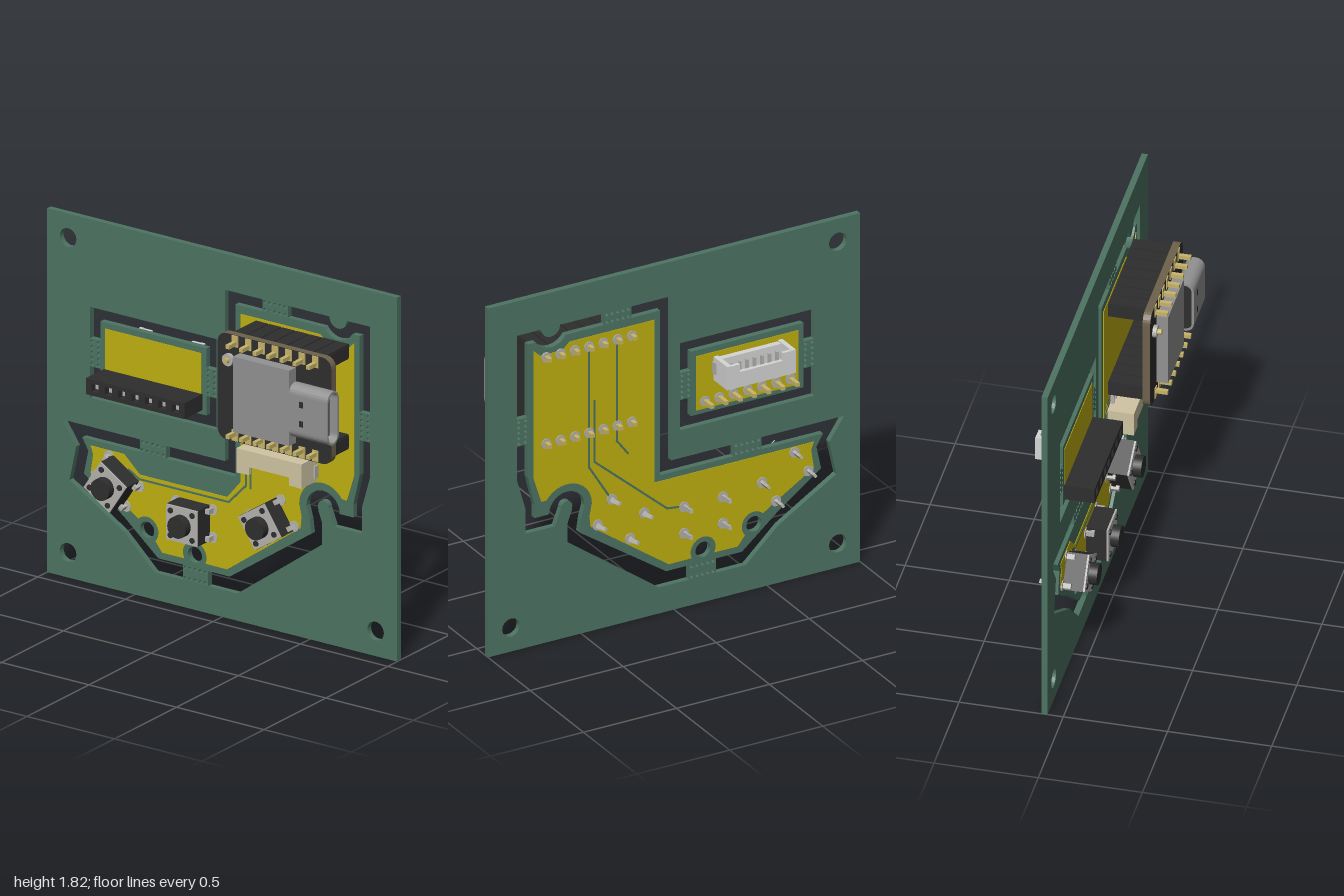
import * as THREE from 'three';

const mat = (name, color) => {
  const m = new THREE.MeshStandardMaterial({ color });
  m.name = name;
  return m;
};
const green = mat('board green', 0x4d7362);
const yellow = mat('copper yellow', 0xbfb010);
const black = mat('black plastic', 0x2e2e2e);
const silver = mat('silver metal', 0xb4b2ae);
const grey = mat('shield grey', 0x929292);
const cream = mat('cream plastic', 0xd0c6a4);
const gold = mat('gold', 0xc8b56a);
const white = mat('white plastic', 0xd6d6d6);
const brown = mat('module edge brown', 0x6e624c);

const BACK = -0.105, FRONT = -0.075; // faces of the board
const PITCH = 0.0766;

const add = (parent, name, geo, material) => {
  const m = new THREE.Mesh(geo, material);
  m.name = name;
  parent.add(m);
  return m;
};
// box from its limits
const box = (parent, name, material, x0, x1, y0, y1, z0, z1) => add(parent, name,
  new THREE.BoxGeometry(x1 - x0, y1 - y0, z1 - z0).translate((x0 + x1) / 2, (y0 + y1) / 2, (z0 + z1) / 2), material);
// cylinder along z
const disc = (parent, name, material, x, y, r, z0, z1, n = 20) => add(parent, name,
  new THREE.CylinderGeometry(r, r, z1 - z0, n).rotateX(Math.PI / 2).translate(x, y, (z0 + z1) / 2), material);
const arc = (cx, cy, r, a0, a1, n = 14) => Array.from({ length: n + 1 }, (_, i) => {
  const a = THREE.MathUtils.degToRad(a0 + (a1 - a0) * i / n);
  return [cx + r * Math.cos(a), cy + r * Math.sin(a)];
});
const circle = (x, y, r, n = 24) => arc(x, y, r, 0, 360 * (n - 1) / n, n - 1);
const rect = (x0, y0, x1, y1) => [[x0, y0], [x1, y0], [x1, y1], [x0, y1]];
const roundRect = (x0, y0, x1, y1, r) => [
  ...arc(x1 - r, y1 - r, r, 0, 90, 6), ...arc(x0 + r, y1 - r, r, 90, 180, 6),
  ...arc(x0 + r, y0 + r, r, 180, 270, 6), ...arc(x1 - r, y0 + r, r, 270, 360, 6)];
const vec = pts => pts.map(p => new THREE.Vector2(...p));
const slab = (pts, holes, z0, z1) => {
  const s = new THREE.Shape(vec(pts));
  s.holes = holes.map(h => new THREE.Path(vec(h)));
  return new THREE.ExtrudeGeometry(s, { depth: z1 - z0, bevelEnabled: false }).translate(0, 0, z0);
};

// outlines
const slotOutline = [[0.016, 1.64], ...arc(0.663, 1.64, 0.05, 180, 360), [0.845, 1.64], [0.845, 0.885],
  [0.80, 0.73], [0.80, 0.595], [0.64, 0.595], ...arc(0.577, 0.68, 0.03, 0, 180), [0.55, 0.655], [0.572, 0.595],
  [0.572, 0.49], [0.086, 0.136], [-0.385, 0.136], [-0.56, 0.30], [-0.872, 0.49], [-0.834, 0.666],
  [-0.914, 0.783], [0.016, 0.783]];
const mainOutline = [[0.075, 1.58], ...arc(0.663, 1.63, 0.095, 212, 328), [0.786, 1.58], [0.786, 0.885],
  [0.75, 0.73], [0.75, 0.665], ...arc(0.577, 0.665, 0.095, 0, 180), [0.5, 0.6], [0.51, 0.53], [0.043, 0.211],
  [-0.365, 0.211], [-0.56, 0.375], [-0.79, 0.54], [-0.765, 0.66], [-0.80, 0.72], [0.075, 0.72]];
const copperStart = [[0.107, 1.54], [0.56, 1.54], [0.60, 1.505], [0.72, 1.505], [0.757, 1.54], [0.757, 0.875],
  [0.715, 0.742], ...arc(0.577, 0.665, 0.135, 35, 180), [0.455, 0.6], [0.45, 0.545], [0.03, 0.245],
  ...arc(-0.155, 0.275, 0.068, -25, 205), [-0.34, 0.245], ...arc(-0.428, 0.34, 0.066, -43, 137),
  [-0.53, 0.42], [-0.75, 0.555], [-0.735, 0.65], [-0.75, 0.69]];
const copperFront = [...copperStart, [-0.56, 0.69], [-0.47, 0.607], [0.03, 0.607], [0.107, 0.70]];
const copperBack = [...copperStart, [0.107, 0.69]];

// thin mask lines drawn on one face of the board
function trace(parent, pts, z) {
  for (let i = 1; i < pts.length; i++) {
    const [x0, y0] = pts[i - 1], [x1, y1] = pts[i];
    const m = add(parent, 'trace', new THREE.BoxGeometry(Math.hypot(x1 - x0, y1 - y0) + 0.006, 0.01, 0.004), green);
    m.position.set((x0 + x1) / 2, (y0 + y1) / 2, z);
    m.rotation.z = Math.atan2(y1 - y0, x1 - x0);
  }
}

function buildBoard(g) {
  const corners = [[-0.88, 1.70], [-0.88, 0.125], [0.877, 0.125]].map(p => circle(...p, 0.047));
  add(g, 'panelFrame', slab(rect(-1, 0, 1, 1.82),
    [...corners, slotOutline, rect(-0.754, 0.928, -0.032, 1.382)], BACK, FRONT), green);
  add(g, 'mainBoard', slab(mainOutline,
    [circle(-0.428, 0.34, 0.04), circle(-0.155, 0.275, 0.04)], BACK, FRONT), green);
  add(g, 'smallBoard', slab(rect(-0.695, 0.987, -0.09, 1.323), [], BACK, FRONT), green);

  // perforated break-off tabs
  for (const [x0, y0, x1, y1] of [[-0.754, 1.085, -0.695, 1.225], [-0.09, 1.085, -0.032, 1.225],
    [0.23, 1.58, 0.375, 1.64], [0.786, 1.06, 0.845, 1.2], [-0.47, 0.72, -0.32, 0.783], [-0.225, 0.136, -0.08, 0.211]]) {
    const holes = [], e = 0.011;
    for (let i = 0; i < 5; i++) {
      const t = (i + 0.5) / 5;
      if (x1 - x0 > y1 - y0) for (const y of [y0 + e, y1 - e]) holes.push(circle(x0 + t * (x1 - x0), y, 0.009, 8));
      else for (const x of [x0 + e, x1 - e]) holes.push(circle(x, y0 + t * (y1 - y0), 0.009, 8));
    }
    add(g, 'breakTab', slab(rect(x0, y0, x1, y1), holes, BACK, FRONT), green);
  }

  // copper areas and traces
  add(g, 'copperFront', slab(copperFront, [], FRONT, FRONT + 0.003), yellow);
  add(g, 'copperBack', slab(copperBack, [], BACK - 0.003, BACK), yellow);
  box(g, 'smallCopperFront', yellow, -0.668, -0.118, 1.01, 1.293, FRONT, FRONT + 0.003);
  box(g, 'smallCopperBack', yellow, -0.668, -0.118, 1.01, 1.293, BACK - 0.003, BACK);
  const zf = FRONT + 0.003, zb = BACK - 0.003;
  trace(g, [[0.25, 0.97], [0.17, 0.97], [0.14, 0.93], [0.14, 0.69], [0.04, 0.585], [-0.47, 0.585], [-0.53, 0.62]], zf);
  trace(g, [[0.27, 0.95], [0.19, 0.945], [0.165, 0.91], [0.165, 0.68]], zf);
  trace(g, [[0.46, 1.48], [0.46, 0.86], [0.35, 0.68]], zb);
  trace(g, [[0.43, 1.2], [0.43, 0.88], [0.04, 0.54], [-0.04, 0.53]], zb);
  trace(g, [[0.31, 1.48], [0.31, 0.96], [0.25, 0.88]], zb);
}

// push button with four legs
function button(parent, x, y, turn) {
  const g = new THREE.Group();
  g.name = 'pushButton';
  box(g, 'buttonBody', black, -0.089, 0.089, -0.089, 0.089, FRONT + 0.003, 0.025);
  box(g, 'buttonPlate', silver, -0.088, 0.088, -0.088, 0.088, 0.025, 0.034);
  disc(g, 'buttonCap', black, 0, 0, 0.053, 0.034, 0.075, 28);
  for (const sx of [-1, 1]) for (const sy of [-1, 1]) {
    disc(g, 'buttonRivet', black, sx * 0.062, sy * 0.062, 0.014, 0.034, 0.04, 12);
    const px = sx * 0.104, py = sy * 0.069;
    disc(g, 'frontPad', silver, px, py, 0.027, FRONT, FRONT + 0.007);
    disc(g, 'backPad', silver, px, py, 0.027, BACK - 0.007, BACK);
    box(g, 'buttonLeg', silver, px - 0.007, px + 0.007, py - 0.012, py + 0.012, -0.14, -0.03);
    box(g, 'legShoulder', silver, Math.min(sx * 0.085, px), Math.max(sx * 0.085, px), py - 0.012, py + 0.012, -0.045, -0.03);
    const tip = box(g, 'legTip', silver, -0.007, 0.007, -0.01, 0.01, -0.045, 0);
    tip.position.set(px, py, -0.137);
    tip.rotation.x = 0.15;
  }
  g.position.set(x, y, 0);
  g.rotation.z = turn;
  parent.add(g);
}

// cable socket open toward +y, standing on z = 0 and rising toward -z
function socket(parent, name, plastic) {
  const g = new THREE.Group();
  g.name = name;
  box(g, 'socketFloor', plastic, -0.18, 0.18, 0, 0.035, -0.128, 0);
  box(g, 'innerWall', plastic, -0.165, 0.165, 0.035, 0.115, -0.03, 0);
  box(g, 'outerWall', plastic, -0.165, 0.165, 0.035, 0.08, -0.128, -0.11);
  for (const s of [-1, 1]) {
    box(g, 'sideWall', plastic, s * 0.173 - 0.012, s * 0.173 + 0.012, 0, 0.122, -0.128, 0);
    box(g, 'sideLip', plastic, s * 0.14 - 0.025, s * 0.14 + 0.025, 0.08, 0.12, -0.128, -0.11);
    box(g, 'anchor', silver, s * 0.176 - 0.017, s * 0.176 + 0.017, 0.04, 0.1, -0.03, 0);
  }
  for (let i = -3; i <= 3; i++) {
    const x = i * 0.04;
    box(g, 'contact', silver, x - 0.006, x + 0.006, 0.03, 0.1, -0.07, -0.055);
    box(g, 'contactFoot', silver, x - 0.007, x + 0.007, -0.045, 0, -0.018, 0);
  }
  parent.add(g);
  return g;
}

function buildModule(g) {
  add(g, 'moduleBoard', slab(roundRect(0.13, 0.998, 0.78, 1.53, 0.05), [], 0.108, 0.145), [black, brown]);
  // two header rows with pins
  for (const [y, out] of [[1.49, 1], [1.04, -1]]) for (let i = 0; i < 7; i++) {
    const x = 0.23 + i * PITCH;
    box(g, 'headerBlock', black, x - 0.035, x + 0.035, y - 0.037, y + 0.037, FRONT, 0.108);
    box(g, 'headerCore', black, x - 0.0383, x + 0.0383, y - 0.028, y + 0.028, FRONT, 0.107);
    box(g, 'headerPin', gold, x - 0.01, x + 0.01, y - 0.01, y + 0.01, -0.147, 0.207);
    box(g, 'modulePad', gold, x - 0.018, x + 0.018, y + out * 0.01 - 0.028, y + out * 0.01 + 0.028, 0.14, 0.15);
    disc(g, 'solderPad', silver, x, y, 0.026, BACK - 0.007, BACK);
  }
  box(g, 'shieldCan', grey, 0.257, 0.578, 1.07, 1.447, 0.145, 0.2);
  disc(g, 'antennaBase', silver, 0.198, 1.404, 0.03, 0.145, 0.165);
  disc(g, 'antennaPost', gold, 0.198, 1.404, 0.014, 0.165, 0.185, 12);
  // cable port facing +x
  const sideways = geo => geo.rotateY(Math.PI / 2).translate(0, 1.262, 0.194);
  add(g, 'portShell', sideways(slab(roundRect(-0.046, -0.134, 0.046, 0.134, 0.044),
    [roundRect(-0.036, -0.124, 0.036, 0.124, 0.035)], 0.605, 0.825)), grey);
  add(g, 'portInside', sideways(slab(roundRect(-0.037, -0.125, 0.037, 0.125, 0.036), [], 0.61, 0.72)), black);
  box(g, 'portTongue', black, 0.72, 0.80, 1.17, 1.354, 0.187, 0.201);
  for (const y of [1.214, 1.31]) box(g, 'portLatch', black, 0.665, 0.685, y - 0.015, y + 0.015, 0.235, 0.242);
  for (let i = 0; i < 8; i++) {
    const y = 1.17 + i * 0.026;
    box(g, 'portContact', gold, 0.585, 0.61, y - 0.007, y + 0.007, 0.145, 0.16);
  }
}

function buildSocketStrip(g) {
  // seven-way strip with square openings
  const holes = [];
  for (let i = 0; i < 7; i++) {
    const x = -0.623 + i * PITCH;
    holes.push(rect(x - 0.02, 1.03, x + 0.02, 1.07));
    box(g, 'stripContact', silver, x - 0.012, x + 0.012, 1.038, 1.062, 0.03, 0.05);
    box(g, 'stripPin', gold, x - 0.01, x + 0.01, 1.04, 1.06, -0.18, BACK);
    disc(g, 'stripSolder', silver, x, 1.05, 0.026, BACK - 0.007, BACK);
  }
  add(g, 'stripFace', slab(rect(-0.674, 1.01, -0.112, 1.09), holes, 0.03, 0.072), black);
  box(g, 'stripBody', black, -0.674, -0.112, 1.01, 1.09, FRONT, 0.03);
}

export function createModel() {
  const model = new THREE.Group();
  model.name = 'circuitPanel';
  const section = (name, build) => {
    const g = new THREE.Group();
    g.name = name;
    build(g);
    model.add(g);
  };
  section('boards', buildBoard);
  section('controllerModule', buildModule);
  section('socketStrip', buildSocketStrip);
  section('buttons', g => {
    button(g, -0.594, 0.548, -0.58);
    button(g, -0.155, 0.457, 0);
    button(g, 0.289, 0.548, 0.58);
  });
  socket(model, 'whiteSocket', white).position.set(-0.395, 1.148, BACK - 0.003);
  const creamSocket = socket(model, 'creamSocket', cream);
  creamSocket.position.set(0.36, 0.925, FRONT + 0.003);
  creamSocket.rotation.x = Math.PI;
  return model;
}
